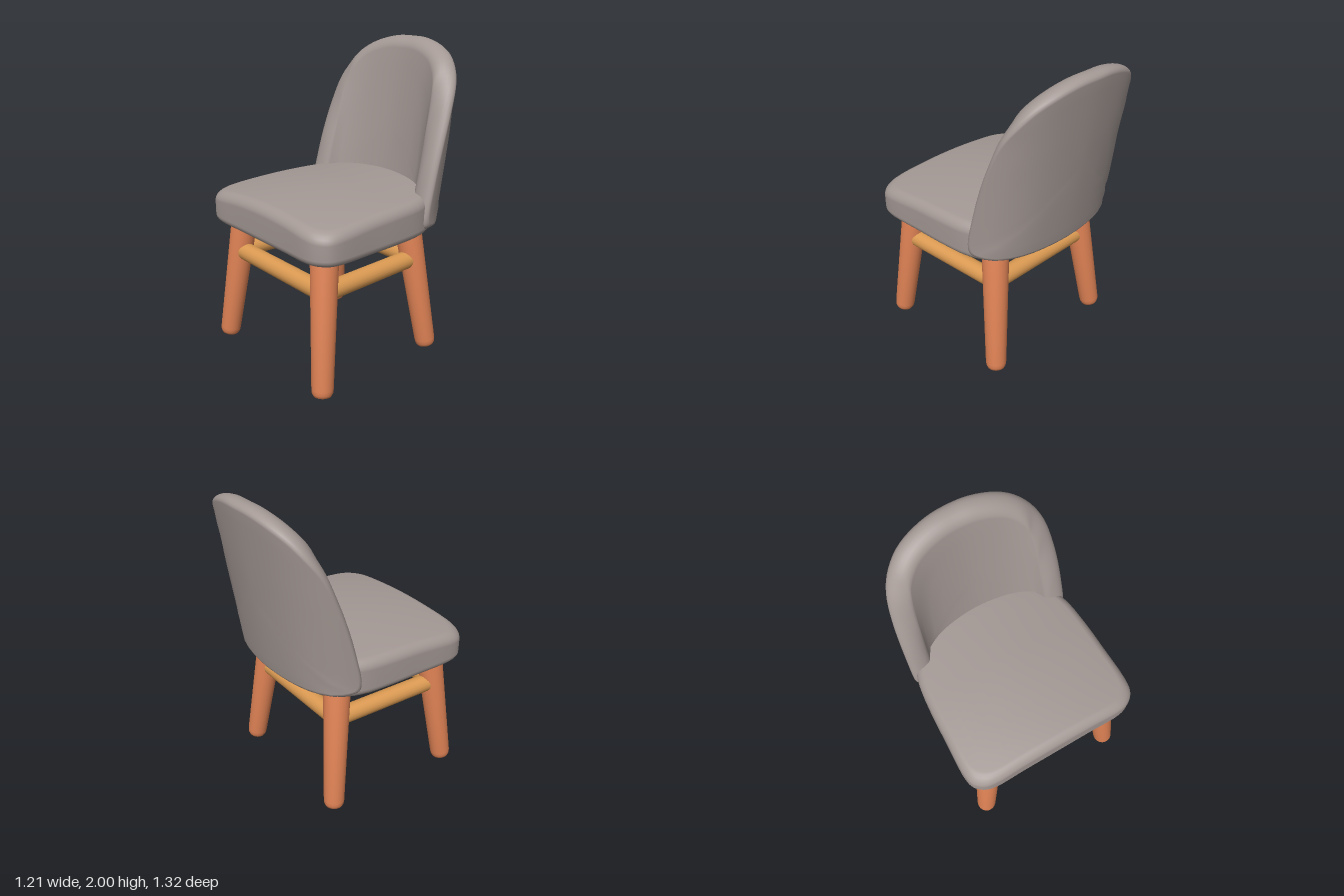
import * as THREE from 'three';
import { mergeVertices } from 'three/addons/utils/BufferGeometryUtils.js';

const fabric = new THREE.MeshStandardMaterial({ color: 0xa39894 });
fabric.name = 'grey fabric';
const wood = new THREE.MeshStandardMaterial({ color: 0xdb8053 });
wood.name = 'reddish wood';
const paleWood = new THREE.MeshStandardMaterial({ color: 0xdb9a52 });
paleWood.name = 'pale wood';

// Smooth closed outline from its +x half, mirrored across the middle.
function mirroredOutline(half, count) {
  const other = half.filter(([x]) => x > 0).reverse().map(([x, y]) => [-x, y]);
  const pts = [...half, ...other].map(([x, y]) => new THREE.Vector3(x, y, 0));
  return new THREE.CatmullRomCurve3(pts, true).getPoints(count).slice(0, count);
}

// Skin over rings; place(ring, outlinePoint) returns a Vector3.
function skin(rings, outline, place) {
  const n = outline.length, pos = [], index = [];
  rings.forEach((ring) => outline.forEach((p) => pos.push(...place(ring, p).toArray())));
  for (let i = 0; i < rings.length - 1; i++) {
    for (let j = 0; j < n; j++) {
      const k = (j + 1) % n;
      const a = i * n + j, b = a + n, c = (i + 1) * n + k, d = i * n + k;
      index.push(a, b, c, a, c, d);
    }
  }
  let g = new THREE.BufferGeometry();
  g.setAttribute('position', new THREE.Float32BufferAttribute(pos, 3));
  g.setIndex(index);
  g = mergeVertices(g, 1e-5);
  g.computeVertexNormals();
  return g;
}

// Domed cushion: straight front, round back tucked into the backrest.
function seatGeometry() {
  const half = [[0, 0.655], [0.25, 0.655], [0.46, 0.655], [0.53, 0.635], [0.585, 0.585],
    [0.604, 0.51], [0.595, 0.25], [0.585, 0.03], [0.56, -0.17], [0.5, -0.3],
    [0.4, -0.38], [0.22, -0.44], [0, -0.46]];
  const outline = mirroredOutline(half, 80);
  const rings = [];
  for (const s of [0, 0.2, 0.4, 0.6, 0.75]) rings.push({ s, drop: 0, top: true });
  const r = 0.06;
  for (let i = 0; i <= 6; i++) {
    const a = (i / 6) * Math.PI / 2;
    rings.push({ s: 1 - (r / 0.6) * (1 - Math.sin(a)), drop: r * (1 - Math.cos(a)), top: true });
  }
  for (let i = 0; i <= 5; i++) {
    const a = (i / 5) * Math.PI / 2;
    rings.push({ s: 1 - (0.05 / 0.6) * (1 - Math.cos(a)), y: 0.89 - 0.05 * Math.sin(a) });
  }
  rings.push({ s: 0.5, y: 0.84 }, { s: 0, y: 0.84 });
  return skin(rings, outline, ({ s, drop, top, y }, p) => {
    const x = p.x * s, z = p.y * s;
    const dome = 1.125 - 0.05 * (x / 0.58) ** 2 - 0.035 * (Math.max(z, 0) / 0.6) ** 2;
    return new THREE.Vector3(x, top ? dome - drop : y, z);
  });
}

// Arched slab wrapped round a plan curve and leaned back.
function backrestGeometry() {
  const side = [[0.28, -0.47], [0.4, -0.43], [0.49, -0.375], [0.545, -0.3], [0.572, -0.21], [0.58, -0.12]];
  const plan = new THREE.CatmullRomCurve3([
    ...side.map(([x, z]) => new THREE.Vector3(-x, 0, z)).reverse(),
    new THREE.Vector3(0, 0, -0.5),
    ...side.map(([x, z]) => new THREE.Vector3(x, 0, z))]);
  plan.arcLengthDivisions = 1000;
  const length = plan.getLength();
  const half = [[0, 0.865], [0.35, 0.865], [0.64, 0.87], [0.715, 0.885], [0.738, 0.94],
    [0.722, 1.15], [0.69, 1.36], [0.652, 1.52], [0.595, 1.69], [0.52, 1.8],
    [0.41, 1.9], [0.28, 1.96], [0.13, 1.995], [0, 2.0]];
  const outline = mirroredOutline(half, 96);
  const thick = 0.145, front = 0.085, back = thick - front;
  const rings = [0, 0.2, 0.4, 0.6, 0.8].map((k) => ({ inset: 0.57 - k * 0.5, scale: k * 0.85, d: thick }));
  for (let i = 0; i <= 6; i++) {
    const a = (i / 6) * Math.PI / 2;
    rings.push({ inset: 0.075 * (1 - Math.sin(a)), d: back + front * Math.cos(a) });
  }
  for (let i = 1; i <= 5; i++) {
    const a = (i / 5) * Math.PI / 2;
    rings.push({ inset: 0.04 * (1 - Math.cos(a)), d: back * (1 - Math.sin(a)) });
  }
  for (const k of [0.8, 0.6, 0.4, 0.2, 0]) rings.push({ scale: k, d: 0 });
  return skin(rings, outline, ({ inset, scale, d }, p) => {
    const sx = scale ?? 1 - inset / 0.74, sy = scale ?? 1 - inset / 0.57;
    const y = 1.43 + (p.y - 1.43) * sy;
    const t = THREE.MathUtils.clamp(0.5 + (p.x * sx) / length, 0, 1);
    const c = plan.getPointAt(t), dir = plan.getTangentAt(t);
    return new THREE.Vector3(c.x + dir.z * -d, y, c.z + dir.x * d - 0.152 * (y - 0.9));
  });
}

// Places a mesh built along +y from one point towards another.
function aim(mesh, from, to) {
  mesh.position.copy(from);
  mesh.quaternion.setFromUnitVectors(new THREE.Vector3(0, 1, 0), to.clone().sub(from).normalize());
  return mesh;
}

export function createModel() {
  const chair = new THREE.Group();
  chair.name = 'chair';
  const add = (geometry, material, name) => {
    const mesh = new THREE.Mesh(geometry, material);
    mesh.name = name;
    chair.add(mesh);
    return mesh;
  };

  add(seatGeometry(), fabric, 'seat');
  add(backrestGeometry(), fabric, 'backrest');

  // Splayed tapered legs with rounded feet
  const legProfile = [[0, 0], [0.04, 0], [0.055, 0.007], [0.064, 0.025], [0.067, 0.05], [0.086, 0.86], [0, 0.86]]
    .map(([r, y]) => new THREE.Vector2(r, y));
  const legGeometry = new THREE.LatheGeometry(legProfile, 24);
  const joints = {};
  for (const [side, m] of [['left', 1], ['right', -1]]) {
    for (const [end, foot, head] of [
      ['Front', [0.515, 0.01, 0.585], [0.42, 0.86, 0.485]],
      ['Rear', [0.475, 0.01, -0.333], [0.372, 0.86, -0.233]]]) {
      const a = new THREE.Vector3(foot[0] * m, foot[1], foot[2]);
      const b = new THREE.Vector3(head[0] * m, head[1], head[2]);
      aim(add(legGeometry, wood, side + end + 'Leg'), a, b);
      joints[side + end] = a.clone().lerp(b, (0.635 - a.y) / (b.y - a.y));
    }
  }

  // Stretchers joining neighbouring legs
  for (const [name, from, to] of [
    ['frontStretcher', 'leftFront', 'rightFront'], ['rearStretcher', 'leftRear', 'rightRear'],
    ['leftStretcher', 'leftFront', 'leftRear'], ['rightStretcher', 'rightFront', 'rightRear']]) {
    const a = joints[from], b = joints[to], len = a.distanceTo(b);
    const geometry = new THREE.CylinderGeometry(0.058, 0.058, len, 20).translate(0, len / 2, 0);
    aim(add(geometry, paleWood, name), a, b);
  }
  return chair;
}
